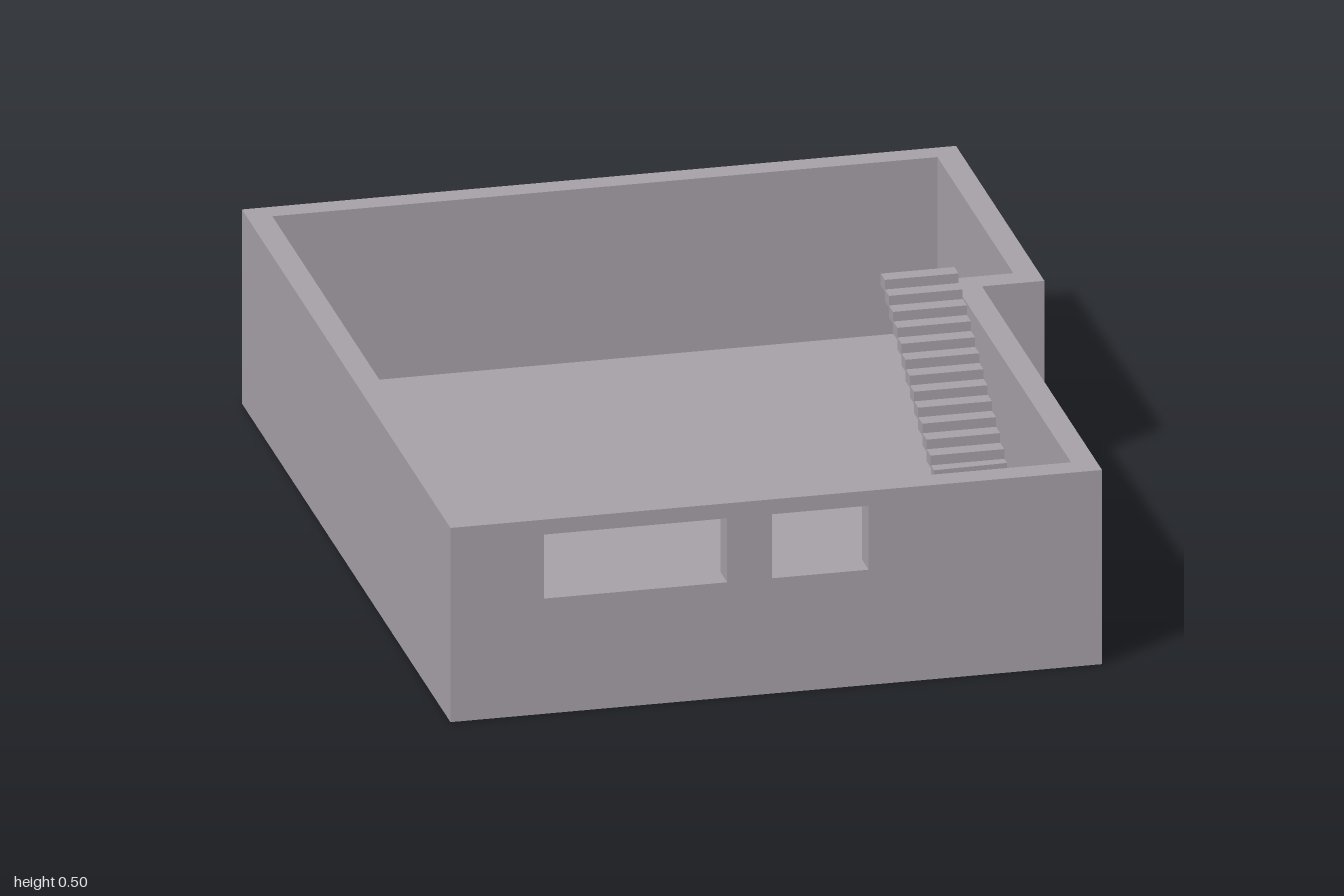
import * as THREE from 'three';

const wallMat = new THREE.MeshStandardMaterial({ color: 0xa7a1a7, flatShading: true });
const greyMat = new THREE.MeshStandardMaterial({ color: 0xcccccc, flatShading: true });

const H = 0.455, FLOOR = 0.05;

export function createModel() {
  const model = new THREE.Group();

  const add = (name, geometry, material = wallMat, parent = model) => {
    const mesh = new THREE.Mesh(geometry, material);
    mesh.name = name;
    parent.add(mesh);
    return mesh;
  };

  // box given by its min and max corners
  const box = (name, [x0, y0, z0], [x1, y1, z1], material, parent) =>
    add(name, new THREE.BoxGeometry(x1 - x0, y1 - y0, z1 - z0), material, parent)
      .position.set((x0 + x1) / 2, (y0 + y1) / 2, (z0 + z1) / 2);

  // plan outline of [x, z] points raised from y0 to y1
  const prism = (name, plan, y0, y1, parent) => {
    const shape = new THREE.Shape(plan.map(([x, z]) => new THREE.Vector2(x, -z)));
    const g = new THREE.ExtrudeGeometry(shape, { depth: y1 - y0, bevelEnabled: false });
    g.rotateX(-Math.PI / 2).translate(0, y0, 0);
    return add(name, g, wallMat, parent);
  };

  // floor slab, inside the walls down to the ground
  const outer = [[-0.8, -0.935], [0.8, -0.935], [0.8, -0.115], [0.66, -0.115], [0.66, 0.94], [-0.8, 0.94]];
  const inner = [[0.605, 0.94], [0.605, -0.175], [0.745, -0.175], [0.745, -0.88], [-0.745, -0.88], [-0.745, 0.94]];
  prism('floor', inner, 0, FLOOR);

  // side and back walls as one run, open at the front
  prism('sideAndBackWalls', [
    outer[5], outer[0], outer[1], outer[2], outer[3], outer[4],
    ...inner,
  ], 0, H);

  // front wall with two window openings
  const front = new THREE.Shape();
  front.moveTo(-0.8, 0).lineTo(0.66, 0).lineTo(0.66, H).lineTo(-0.8, H).closePath();
  for (const [x0, x1] of [[-0.59, -0.18], [-0.08, 0.137]]) {
    const hole = new THREE.Path();
    hole.moveTo(x0, 0.27).lineTo(x0, 0.42).lineTo(x1, 0.42).lineTo(x1, 0.27).closePath();
    front.holes.push(hole);
  }
  add('frontWall', new THREE.ExtrudeGeometry(front, { depth: 0.06, bevelEnabled: false }))
    .position.z = 0.94;

  // light wells on the back wall
  for (const [x0, x1] of [[-0.67, -0.445], [-0.185, 0.038]])
    box('lightWell', [x0, 0.1, -1], [x1, 0.425, -0.935], greyMat);

  // stairs: straight flight of thin treads, numbered from the top
  const stairs = new THREE.Group();
  stairs.name = 'stairs';
  model.add(stairs);
  const rise = 0.0225, run = 0.0387, topY = 0.498;
  for (let i = 0; i < 12; i++) {
    const y = topY - i * rise, z = -0.135 + i * run;
    box('tread', [0.438, y - 0.028, z], [0.603, y, z + run], wallMat, stairs);
  }

  // winding steps fanning round the inner corner, solid to the floor
  const pivot = [0.438, 0.36];
  const rim = [[0.603, 0.33], [0.603, 0.355], [0.603, 0.385], [0.603, 0.43], [0.575, 0.487], [0.48, 0.487]];
  for (let i = 0; i < 5; i++) {
    const plan = [pivot, rim[i], rim[i + 1]];
    if (i === 3) plan.splice(2, 0, [0.603, 0.487]);
    if (i === 0) plan.push([0.438, 0.33]), plan.splice(0, 4, [0.438, 0.33], rim[0], rim[1], pivot);
    prism('windingStep', plan, FLOOR, topY - (12 + i) * rise, stairs);
  }
  prism('bottomStep', [[0.405, 0.37], [0.434, 0.37], rim[5], [0.405, 0.487]], FLOOR, topY - 17 * rise, stairs);

  return model;
}
